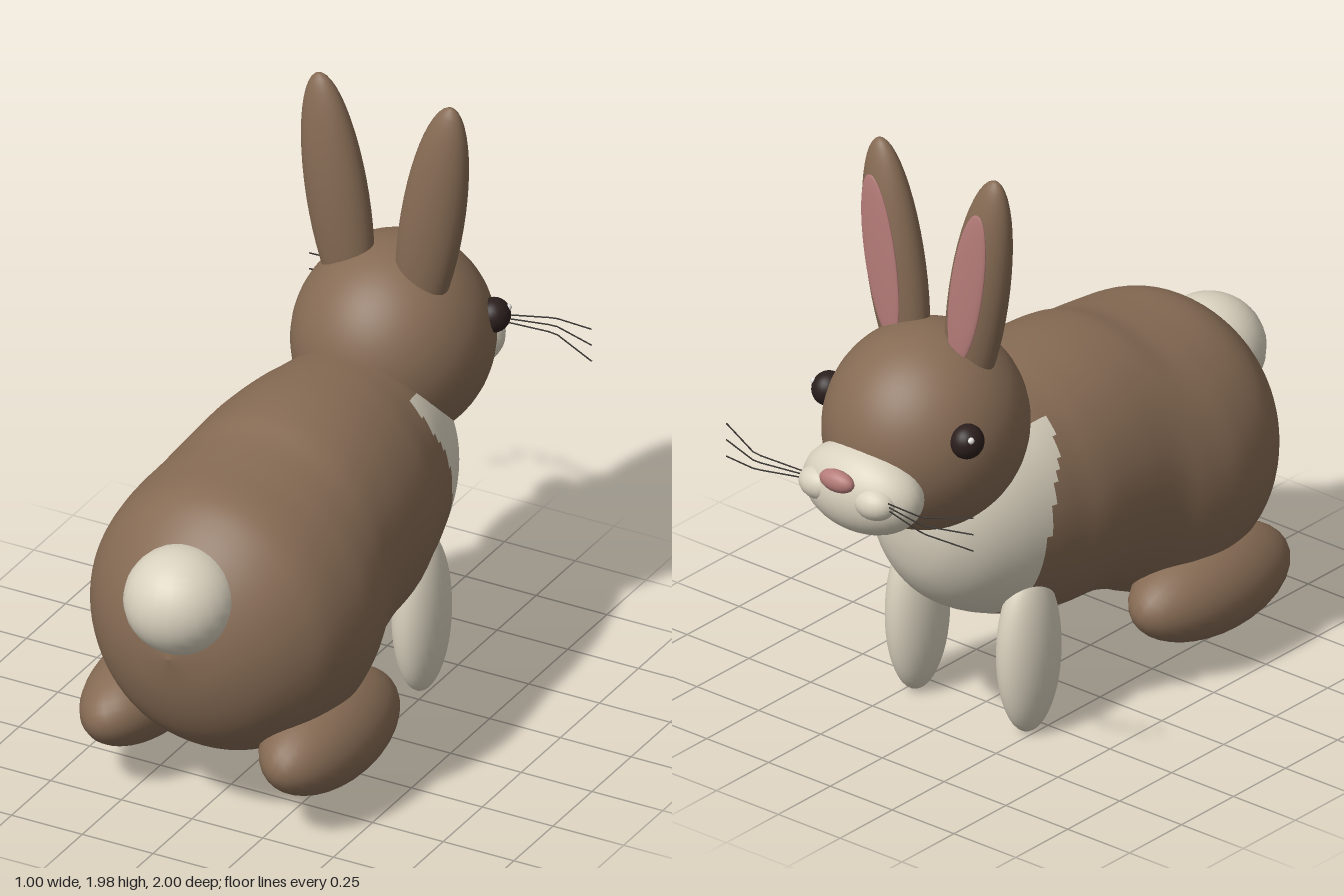
import * as THREE from 'three';

const mat = (name, color) => {
  const m = new THREE.MeshStandardMaterial({ color });
  m.name = name;
  return m;
};

export function createModel() {
  const brown = mat('brownFur', 0x866b54);
  const cream = mat('creamFur', 0xd9d1be);
  const pink = mat('pinkSkin', 0xb57c79);
  const dark = mat('darkEye', 0x2b1f1d);
  const white = mat('eyeGlint', 0xf4f2ee);
  const grey = mat('whiskerGrey', 0x35322f);
  const model = new THREE.Group();
  model.name = 'rabbit';

  const add = (name, geometry, material) => {
    const mesh = new THREE.Mesh(geometry, material);
    mesh.name = name;
    model.add(mesh);
    return mesh;
  };
  const ellipsoid = (name, material, pos, radii, seg = 32) => {
    const mesh = add(name, new THREE.SphereGeometry(1, seg, Math.round(seg * 0.75)), material);
    mesh.position.set(...pos);
    mesh.scale.set(...radii);
    return mesh;
  };

  // Body: elliptical sections from rump to chest, each [z, top, bottom, half width]
  const sections = [
    [0.905, 0.64, 0.64, 0.001], [0.87, 0.81, 0.47, 0.165], [0.8, 0.94, 0.33, 0.29],
    [0.7, 1.04, 0.24, 0.385], [0.6, 1.09, 0.19, 0.435], [0.45, 1.11, 0.165, 0.46],
    [0.32, 1.13, 0.18, 0.445], [0.2, 1.165, 0.235, 0.415], [0.05, 1.18, 0.28, 0.4],
    [-0.1, 1.175, 0.29, 0.385], [-0.2, 1.165, 0.31, 0.36], [-0.3, 1.15, 0.34, 0.335],
    [-0.42, 1.1, 0.395, 0.295], [-0.52, 1.03, 0.465, 0.24], [-0.59, 0.95, 0.56, 0.17],
    [-0.625, 0.87, 0.66, 0.095], [-0.64, 0.77, 0.77, 0.001],
  ];
  const topCurve = new THREE.SplineCurve(sections.map((s) => new THREE.Vector2(s[0], s[1])));
  const lowCurve = new THREE.SplineCurve(sections.map((s) => new THREE.Vector2(s[2], s[3])));
  const rings = 96, sides = 72, pos = [];
  for (let i = 0; i <= rings; i++) {
    const a = topCurve.getPoint(i / rings), b = lowCurve.getPoint(i / rings);
    for (let j = 0; j < sides; j++) {
      const t = (j / sides) * Math.PI * 2;
      pos.push(b.y * Math.cos(t), (a.y + b.x) / 2 + ((a.y - b.x) / 2) * Math.sin(t), a.x);
    }
  }
  // Cream bib: faces ahead of a line sloping down the shoulder
  const isBib = (y, z) => {
    const edge = y > 0.79 ? -0.32 + (y - 0.79) * 0.36 : -0.32 - Math.min(0.79 - y, 0.25) * 0.1;
    return y < 1.06 && z < edge;
  };
  const coat = [], bib = [];
  for (let i = 0; i < rings; i++) {
    for (let j = 0; j < sides; j++) {
      const k = (j + 1) % sides;
      const a = i * sides + j, b = a + sides, c = i * sides + k, d = c + sides;
      const y = (pos[a * 3 + 1] + pos[d * 3 + 1]) / 2, z = (pos[a * 3 + 2] + pos[d * 3 + 2]) / 2;
      (isBib(y, z) ? bib : coat).push(a, b, c, b, d, c);
    }
  }
  const bodyGeo = new THREE.BufferGeometry();
  bodyGeo.setAttribute('position', new THREE.Float32BufferAttribute(pos, 3));
  bodyGeo.setIndex([...coat, ...bib]);
  bodyGeo.addGroup(0, coat.length, 0);
  bodyGeo.addGroup(coat.length, bib.length, 1);
  bodyGeo.computeVertexNormals();
  add('body', bodyGeo, [brown, cream]);

  // Head, muzzle, nose and tail
  ellipsoid('head', brown, [0, 1.085, -0.54], [0.316, 0.335, 0.336], 48);
  ellipsoid('muzzle', cream, [0, 0.98, -0.84], [0.22, 0.145, 0.132]);
  ellipsoid('nose', pink, [0, 1.05, -0.968], [0.066, 0.036, 0.032], 20);
  ellipsoid('tail', cream, [0, 0.815, 0.82], [0.18, 0.172, 0.18], 24);

  for (const s of [1, -1]) {
    const side = s > 0 ? 'left' : 'right';

    // Ears lean outward, with a thin pink lining in front
    ellipsoid(side + 'Ear', brown, [s * 0.167, 1.56, -0.485], [0.105, 0.425, 0.074])
      .rotation.z = -s * 0.16;
    ellipsoid(side + 'InnerEar', pink, [s * 0.175, 1.61, -0.552], [0.064, 0.275, 0.012], 24)
      .rotation.z = -s * 0.16;

    // Eyes with glints
    ellipsoid(side + 'Eye', dark, [s * 0.28, 1.165, -0.675], [0.053, 0.056, 0.056], 24);
    ellipsoid(side + 'EyeGlint', white, [s * 0.318, 1.189, -0.701], [0.01, 0.011, 0.011], 10);

    // Whisker pad and three bent whiskers
    ellipsoid(side + 'WhiskerPad', cream, [s * 0.11, 0.99, -0.915], [0.075, 0.055, 0.06], 20);
    for (const row of [-1, 0, 1]) {
      const bend = new THREE.Vector3(s * 0.34, 1.003 + row * 0.027, -0.96);
      const whisker = new THREE.CurvePath();
      whisker.add(new THREE.LineCurve3(new THREE.Vector3(s * 0.13, 1.0 + row * 0.008, -0.92), bend));
      whisker.add(new THREE.LineCurve3(bend, new THREE.Vector3(s * 0.5, 1.003 + row * 0.057, -0.905)));
      add(side + 'Whisker', new THREE.TubeGeometry(whisker, 12, 0.0025, 5), grey);
    }

    // Legs
    ellipsoid(side + 'FrontLeg', cream, [s * 0.225, 0.28, -0.313], [0.083, 0.28, 0.124]);
    ellipsoid(side + 'HindLeg', brown, [s * 0.317, 0.252, 0.445], [0.17, 0.155, 0.337])
      .rotation.z = -s * 0.4;
  }
  return model;
}
